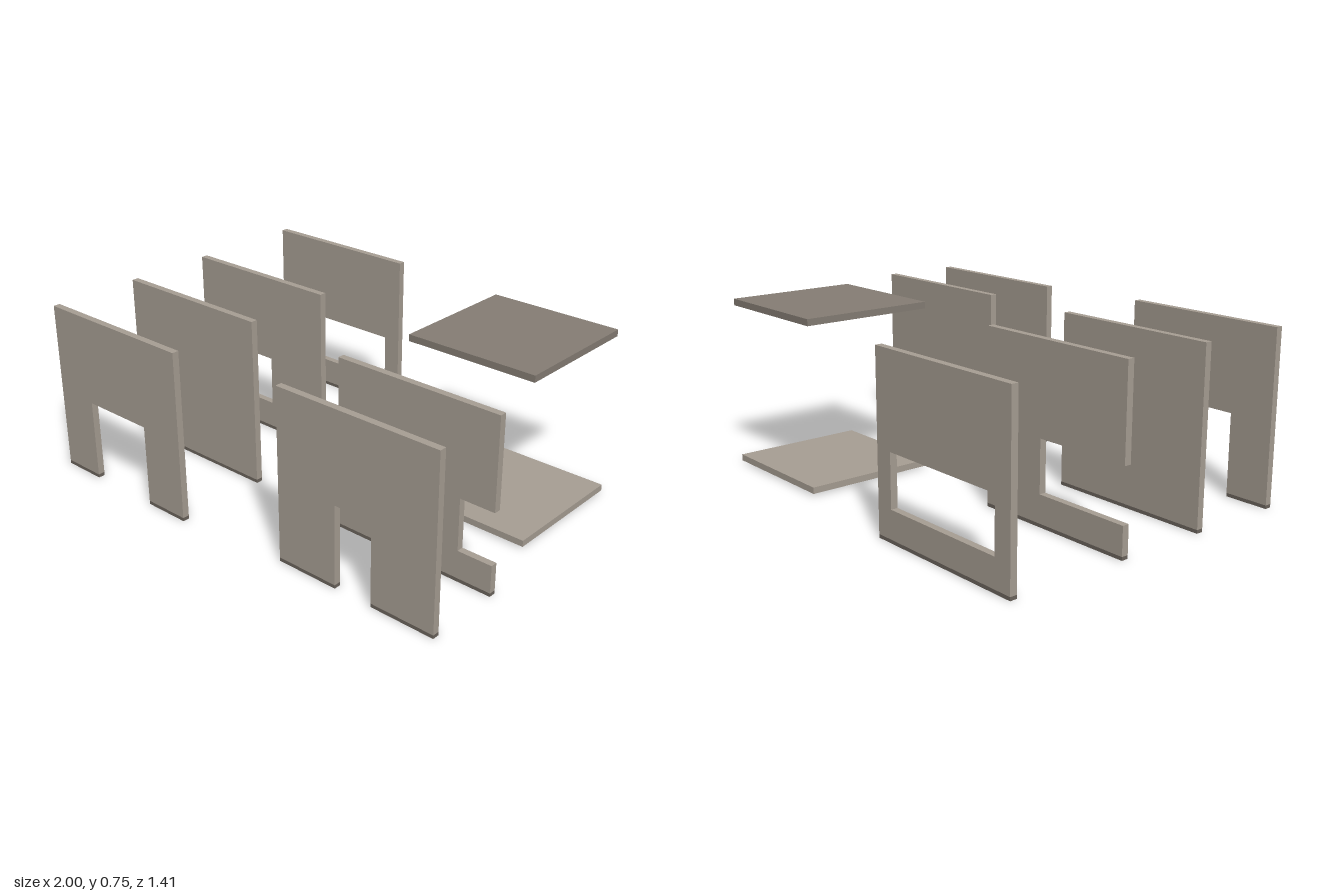
import * as THREE from 'three';

const wallPaint = new THREE.MeshStandardMaterial({ color: 0xa89f94 });
wallPaint.name = 'warm grey wall';
const roofPaint = new THREE.MeshStandardMaterial({ color: 0x867e75 });
roofPaint.name = 'dark grey ceiling';
const footPaint = new THREE.MeshStandardMaterial({ color: 0x6c655d });
footPaint.name = 'charcoal footing';

const T = 0.03;      // panel thickness
const H = 0.75;      // panel height
const FOOT = 0.015;  // height of the footing strip
const HEAD = 0.36;   // top of doors and windows
const SILL = 0.135;  // bottom of windows

function box(name, material, x0, x1, y0, y1, z0, z1) {
  const mesh = new THREE.Mesh(new THREE.BoxGeometry(x1 - x0, y1 - y0, z1 - z0), material);
  mesh.position.set((x0 + x1) / 2, (y0 + y1) / 2, (z0 + z1) / 2);
  mesh.name = name;
  return mesh;
}

// Upright panel: outline extruded through its thickness, standing on footing strips
function panel(name, z, outline, feet, hole) {
  const group = new THREE.Group();
  group.name = name;
  const toPoints = (list) => list.map(([x, y]) => new THREE.Vector2(x, y));
  const shape = new THREE.Shape(toPoints(outline));
  if (hole) shape.holes.push(new THREE.Path(toPoints(hole)));
  const wall = new THREE.Mesh(
    new THREE.ExtrudeGeometry(shape, { depth: T, bevelEnabled: false }), wallPaint);
  wall.position.z = z - T / 2;
  wall.name = name + 'Board';
  group.add(wall);
  for (const [x0, x1] of feet) {
    group.add(box(name + 'Footing', footPaint, x0, x1, 0, FOOT, z - T / 2, z + T / 2));
  }
  return group;
}

// Plain rectangle outline
const rect = (x0, x1, y0, y1) => [[x0, y0], [x1, y0], [x1, y1], [x0, y1]];
// Rectangle with a doorway cut up from the floor
const withDoor = (x0, x1, d0, d1) => [
  [x0, FOOT], [d0, FOOT], [d0, HEAD], [d1, HEAD], [d1, FOOT], [x1, FOOT], [x1, H], [x0, H],
];

export function createModel() {
  const model = new THREE.Group();
  model.name = 'roomPanels';

  // Row of four panels on the -x side
  const L0 = -1, L1 = -0.25;
  model.add(panel('wideDoorWall', 0.689, withDoor(L0, L1, -0.8, -0.46), [[L0, -0.8], [-0.46, L1]]));
  model.add(panel('solidWall', 0.265, rect(L0, L1, FOOT, H), [[L0, L1]]));
  model.add(panel('openSlotWall', -0.15, [
    [L0, FOOT], [L1, FOOT], [L1, H], [L0, H],
    [L0, HEAD], [-0.56, HEAD], [-0.56, SILL], [L0, SILL],
  ], [[L0, L1]]));
  model.add(panel('windowWall', -0.689, rect(L0, L1, FOOT, H), [[L0, L1]],
    rect(-0.92, -0.33, SILL, HEAD)));

  // Two panels on the +x side
  const R0 = 0.25, R1 = 1;
  model.add(panel('narrowDoorWall', 0.636, withDoor(R0, R1, 0.535, 0.71), [[R0, 0.535], [0.71, R1]]));
  model.add(panel('doorAndSlotWall', 0.295, [
    [R0, FOOT], [0.535, FOOT], [0.535, HEAD], [0.71, HEAD], [0.71, FOOT], [R1, FOOT],
    [R1, SILL], [0.845, SILL], [0.845, HEAD], [R1, HEAD], [R1, H], [R0, H],
  ], [[R0, 0.535], [0.71, R1]]));

  // Floor and ceiling slabs
  model.add(box('floorSlab', wallPaint, 0.31, 0.905, 0.008, 0.036, -0.64, -0.045));
  model.add(box('ceilingSlab', roofPaint, 0.31, 0.905, 0.721, 0.75, -0.64, -0.045));

  return model;
}
